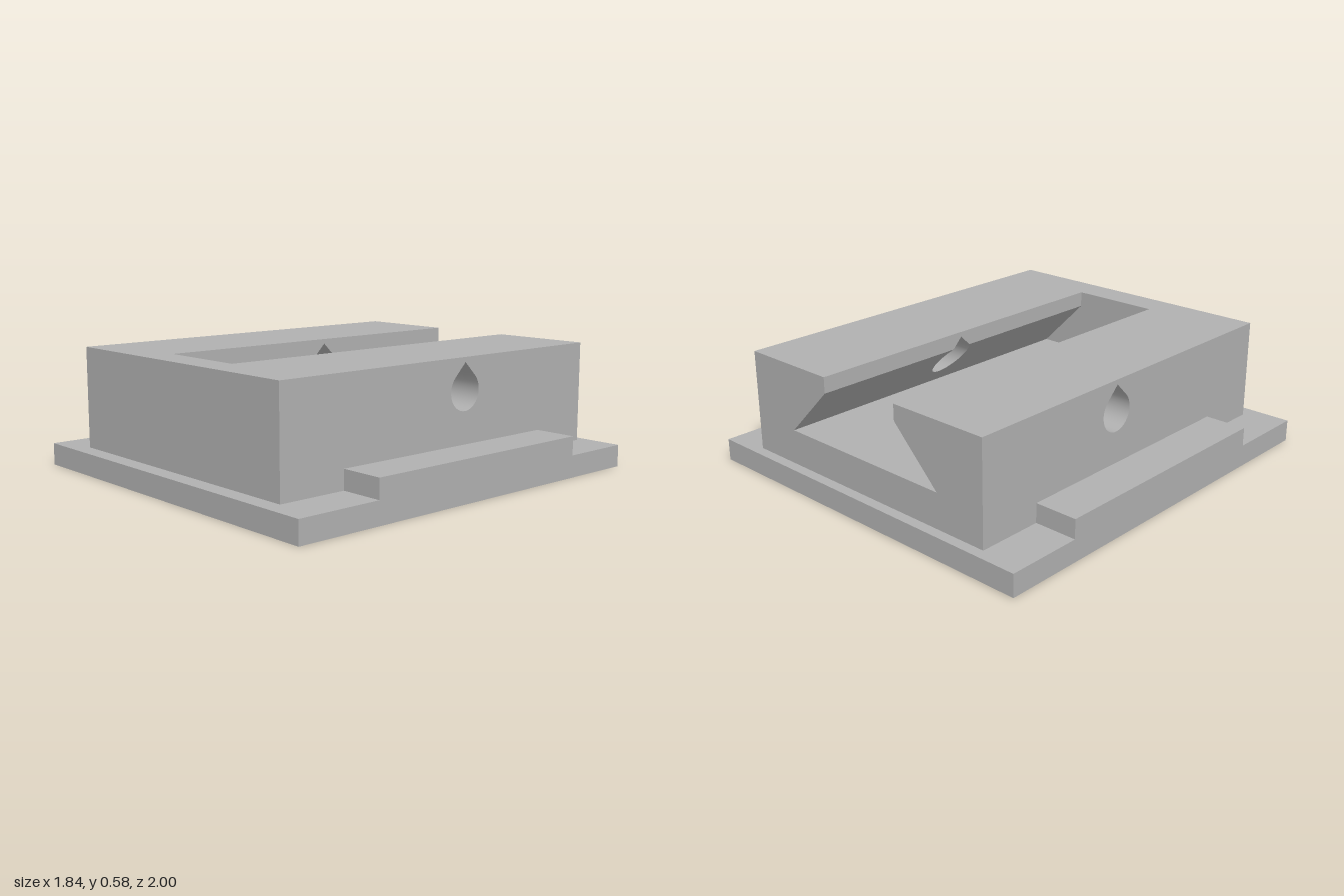
import * as THREE from 'three';
import { mergeGeometries, toCreasedNormals } from 'three/addons/utils/BufferGeometryUtils.js';

const BODY_X = 0.715, BACK = -0.95, FRONT = 0.92, TOP = 0.585, BASE = 0.105;
// Dovetail slot: narrow lip, then 45 degree undercut down to the floor
const SLOT_X = 0.22, FLOOR_X = 0.46, FLOOR = 0.27, LIP = 0.51, SLOT_END = 0.77;
// Teardrop cross hole; u runs along -z
const HOLE_U = 0.125, HOLE_Y = 0.435, HOLE_R = 0.09;

const innerX = (y) => (y >= LIP ? SLOT_X : SLOT_X + (LIP - y) * (FLOOR_X - SLOT_X) / (LIP - FLOOR));
const toShape = (pts) => new THREE.Shape(pts.map(([a, b]) => new THREE.Vector2(a, b)));

// Moves each vertex by a rule, optionally reversing the facing
function mapped(geo, rule, flip = false) {
  const p = geo.attributes.position;
  for (let i = 0; i < p.count; i++) p.setXYZ(i, ...rule(p.getX(i), p.getY(i), i));
  if (flip) geo.index.array.reverse();
  return geo;
}

function railGeometry(side) {
  const flip = side < 0;
  const u0 = -SLOT_END, u1 = -BACK;
  const apexY = HOLE_Y + HOLE_R * Math.SQRT2;
  const w = apexY - LIP;
  const apex = [HOLE_U, apexY], right = [HOLE_U + w, LIP], left = [HOLE_U - w, LIP];
  const arc = [];
  for (let i = 0; i <= 36; i++) {
    const a = Math.PI / 4 - (i / 36) * Math.PI * 1.5;
    arc.push([HOLE_U + HOLE_R * Math.cos(a), HOLE_Y + HOLE_R * Math.sin(a)]);
  }
  const teardrop = [apex, right, ...arc, left];
  const n = teardrop.length;

  // Outer wall with the hole
  const outer = toShape([[u0, FLOOR], [u1, FLOOR], [u1, TOP], [u0, TOP]]);
  outer.holes.push(toShape(teardrop));
  // Undercut and lip, each notched by its part of the hole
  const undercut = toShape([[u0, FLOOR], [u1, FLOOR], [u1, LIP], right, ...arc, left, [u0, LIP]]);
  const lip = toShape([[u0, LIP], left, apex, right, [u1, LIP], [u1, TOP], [u0, TOP]]);
  const top = toShape([[SLOT_X, u0], [BODY_X, u0], [BODY_X, u1], [SLOT_X, u1]]);
  const end = toShape([[FLOOR_X, FLOOR], [BODY_X, FLOOR], [BODY_X, TOP], [SLOT_X, TOP], [SLOT_X, LIP]]);

  const face = (shape, rule, f) => mapped(new THREE.ShapeGeometry(shape), rule, f);
  const parts = [
    face(outer, (u, y) => [side * BODY_X, y, -u], flip),
    face(undercut, (u, y) => [side * innerX(y), y, -u], !flip),
    face(lip, (u, y) => [side * SLOT_X, y, -u], !flip),
    face(top, (x, u) => [side * x, TOP, -u], flip),
    face(end, (x, y) => [side * x, y, BACK], !flip),
    // Wall of the hole, from the outside to the slot
    mapped(new THREE.PlaneGeometry(1, 1, n, 1), (a, b, i) => {
      const [u, y] = teardrop[(i % (n + 1)) % n];
      return [side * (i <= n ? BODY_X : innerX(y)), y, -u];
    }, flip),
  ];
  return toCreasedNormals(mergeGeometries(parts), 0.5);
}

export function createModel() {
  const group = new THREE.Group();
  const grey = new THREE.MeshStandardMaterial({ color: 0xb0b0b0 });
  grey.name = 'grey';

  const add = (name, geo) => {
    const mesh = new THREE.Mesh(geo, grey);
    mesh.name = name;
    group.add(mesh);
  };
  const box = (name, x0, x1, y0, y1, z0, z1) => add(name,
    new THREE.BoxGeometry(x1 - x0, y1 - y0, z1 - z0)
      .translate((x0 + x1) / 2, (y0 + y1) / 2, (z0 + z1) / 2));

  box('basePlate', -0.92, 0.92, 0, BASE, -1, 1);
  box('slotFloor', -BODY_X, BODY_X, BASE, FLOOR, BACK, FRONT);
  box('frontWall', -BODY_X, BODY_X, FLOOR, TOP, SLOT_END, FRONT);

  // Rails and side ledges
  for (const [name, side] of [['left', 1], ['right', -1]]) {
    add(name + 'Rail', railGeometry(side));
    const inner = side * BODY_X, outer = side * 0.92;
    box(name + 'Ledge', Math.min(inner, outer), Math.max(inner, outer), BASE, 0.195, -0.64, 0.59);
  }
  return group;
}
